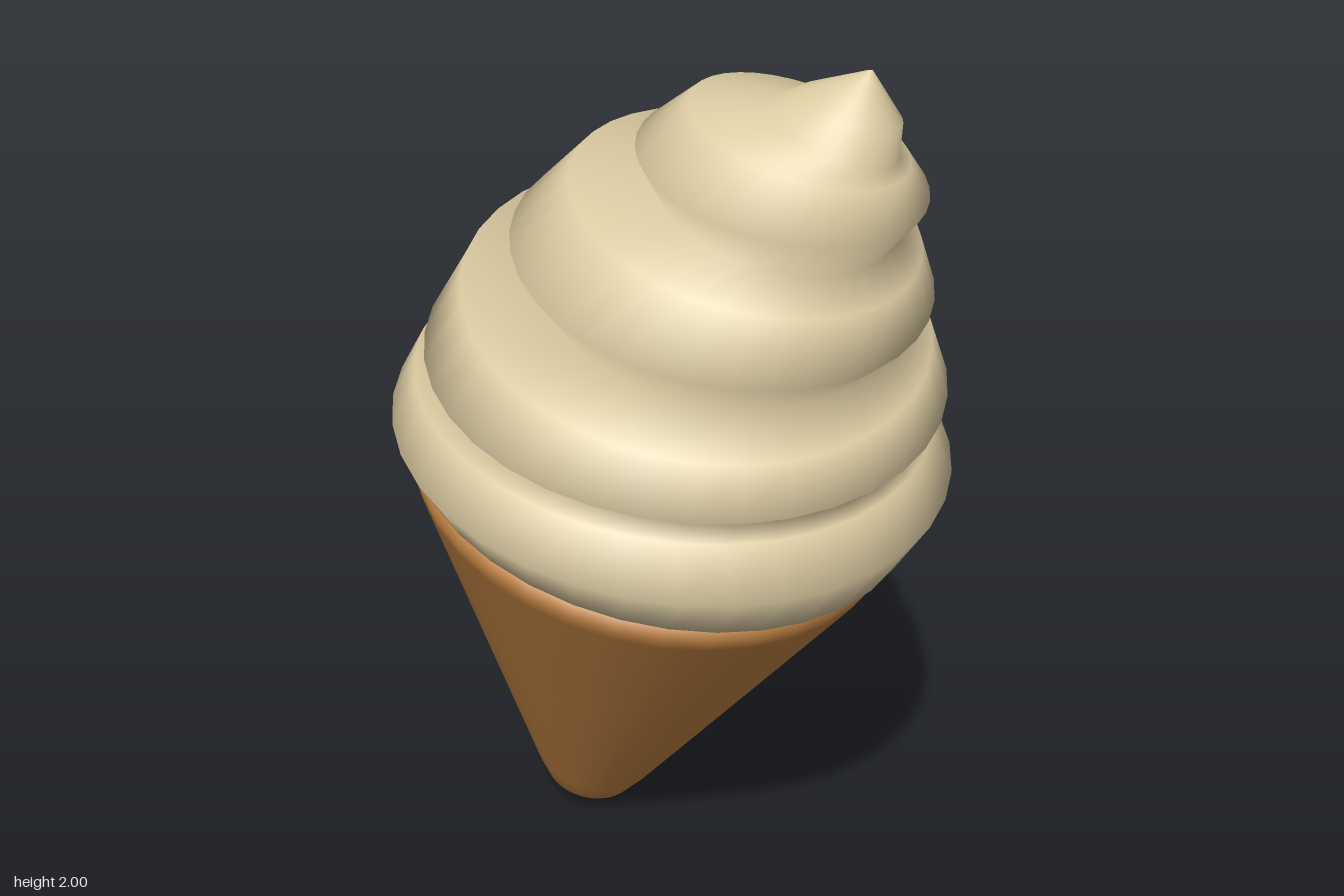
import * as THREE from 'three';

const SEGMENTS = 36;

// Skin a stack of tilted ellipses: [cx, cy, cz, radiusX, radiusZ, slopeX, slopeZ]
function loftRings(rings) {
  const positions = [], index = [];
  rings.forEach(([cx, cy, cz, rx, rz, sx, sz], i) => {
    for (let j = 0; j < SEGMENTS; j++) {
      const angle = (j / SEGMENTS) * Math.PI * 2;
      const dx = rx * Math.cos(angle), dz = rz * Math.sin(angle);
      positions.push(cx + dx, cy + sx * dx + sz * dz, cz + dz);
      if (i === 0) continue;
      const next = (j + 1) % SEGMENTS;
      const a = (i - 1) * SEGMENTS + j, b = (i - 1) * SEGMENTS + next;
      const c = i * SEGMENTS + j, d = i * SEGMENTS + next;
      index.push(a, c, b, b, c, d);
    }
  });
  const geometry = new THREE.BufferGeometry();
  geometry.setAttribute('position', new THREE.Float32BufferAttribute(positions, 3));
  geometry.setIndex(index);
  geometry.computeVertexNormals();
  return geometry;
}

export function createModel() {
  const group = new THREE.Group();
  group.name = 'iceCreamCone';

  const wafer = new THREE.MeshStandardMaterial({ color: 0xc68644 });
  wafer.name = 'wafer brown';
  const cream = new THREE.MeshStandardMaterial({ color: 0xdccba2 });
  cream.name = 'vanilla cream';

  // Leaning cone with a blunt tip and a rim folded inwards
  const profile = [
    [0, 0], [0.073, 0.022], [0.12, 0.075], [0.157, 0.15], [0.36, 0.622],
    [0.55, 1.065], [0.562, 1.1], [0.553, 1.135], [0.5, 1.145], [0, 1.145],
  ].map(([r, y]) => new THREE.Vector2(r, y));
  const cone = new THREE.Mesh(new THREE.LatheGeometry(profile, SEGMENTS), wafer);
  cone.name = 'cone';
  const axis = new THREE.Vector3(0.087, 1, 0.3).normalize();
  cone.quaternion.setFromUnitVectors(new THREE.Vector3(0, 1, 0), axis);
  cone.position.set(-0.1, 0.003, -0.37);
  group.add(cone);

  // Soft serve: bulges and grooves drifting forwards and sideways to the peak
  const swirl = new THREE.Mesh(loftRings([
    [-0.01, 1.07, -0.035, 0.5, 0.49, -0.09, -0.265],
    [-0.01, 1.078, -0.035, 0.56, 0.55, -0.09, -0.265],
    [0, 1.185, 0, 0.613, 0.598, -0.03, -0.24],       // bottom coil
    [-0.005, 1.29, 0.02, 0.56, 0.535, -0.04, -0.25],
    [0.025, 1.305, 0.05, 0.48, 0.45, -0.04, -0.3],
    [0.01, 1.365, 0.055, 0.56, 0.53, 0, -0.28],      // second coil
    [0.035, 1.475, 0.045, 0.5, 0.49, 0, -0.33],
    [0.05, 1.515, 0.11, 0.37, 0.34, -0.04, -0.37],
    [0.06, 1.595, 0.125, 0.44, 0.415, -0.03, -0.32], // third coil
    [0.1, 1.7, 0.145, 0.36, 0.355, -0.08, -0.33],
    [0.14, 1.725, 0.2, 0.245, 0.23, -0.08, -0.38],
    [0.145, 1.8, 0.22, 0.295, 0.28, -0.07, -0.29],   // top coil
    [0.18, 1.87, 0.22, 0.22, 0.22, -0.17, -0.28],
    [0.22, 1.88, 0.285, 0.13, 0.13, -0.25, -0.33],
    [0.25, 1.93, 0.3, 0.1, 0.1, -0.2, -0.25],        // peak
    [0.28, 2, 0.315, 0.003, 0.003, 0, 0],
  ]), cream);
  swirl.name = 'creamSwirl';
  group.add(swirl);

  return group;
}
